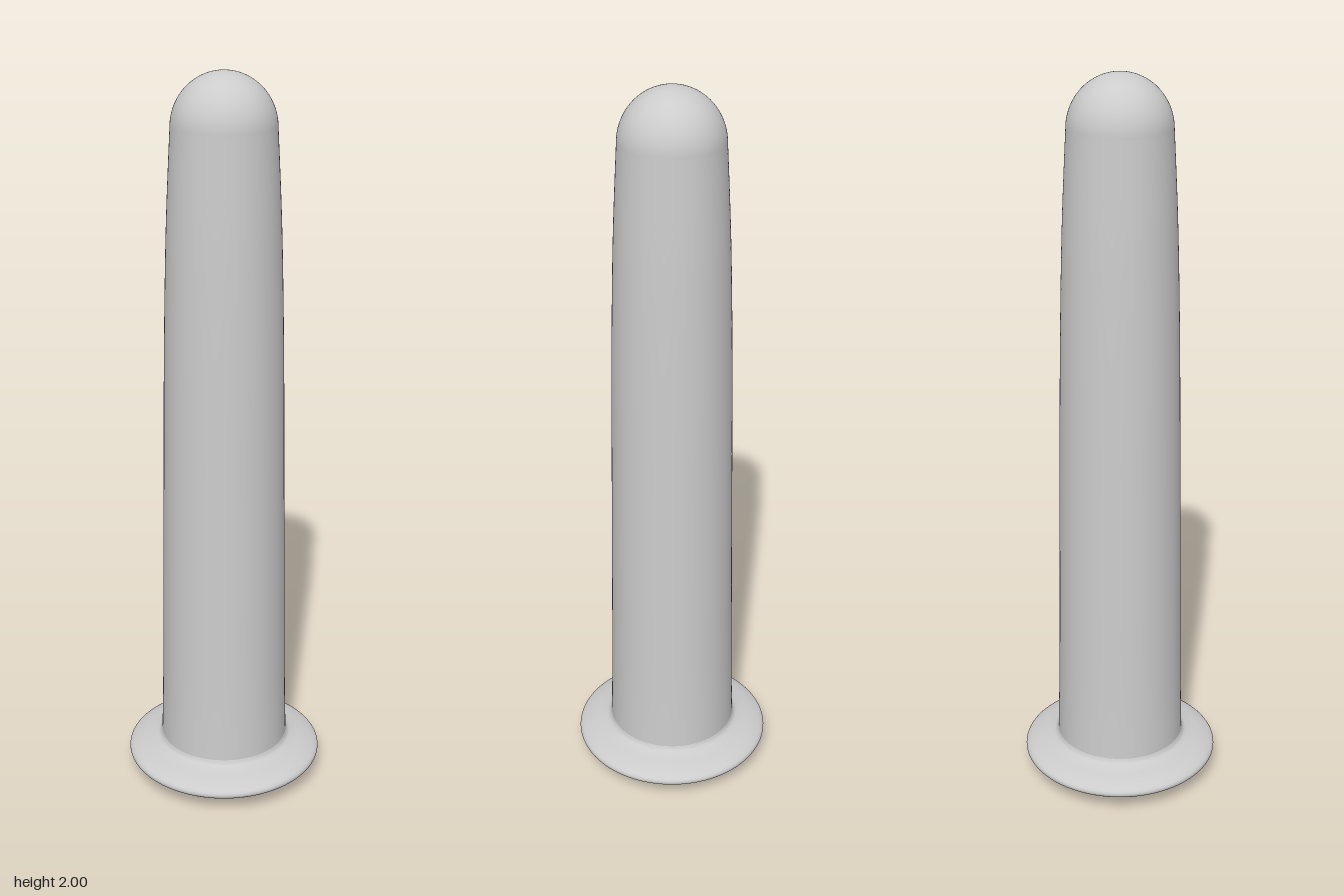
import * as THREE from 'three';

const SEGMENTS = 96;
const vectors = (pairs) => pairs.map(([r, y]) => new THREE.Vector2(r, y));
const smooth = (pairs, n) => new THREE.SplineCurve(vectors(pairs)).getPoints(n);

export function createModel() {
  const group = new THREE.Group();
  const material = new THREE.MeshStandardMaterial({ color: 0xcccccc });

  // Every part is a revolved profile of (radius, height), running bottom to top
  const addLathe = (name, points) => {
    const mesh = new THREE.Mesh(new THREE.LatheGeometry(points, SEGMENTS), material);
    mesh.name = name;
    group.add(mesh);
  };

  // Flared base: shallow convex underside, rounded rim, small fillet into the shaft
  addLathe('base', smooth([
    [0, 0], [0.1, 0.005], [0.18, 0.016], [0.24, 0.036], [0.268, 0.052], [0.275, 0.064],
    [0.267, 0.076], [0.24, 0.088], [0.205, 0.098], [0.187, 0.106], [0.18, 0.118],
  ], 60));

  // Gently bowed, tapering shaft
  addLathe('shaft', smooth([
    [0.18, 0.118], [0.175, 0.3], [0.17, 0.6], [0.165, 0.9], [0.16, 1.2],
    [0.154, 1.45], [0.147, 1.65], [0.136, 1.86],
  ], 40));

  // Rounded tip
  const tip = [];
  for (let i = 0; i <= 24; i++) {
    const a = (i / 24) * Math.PI / 2;
    tip.push(new THREE.Vector2(i === 24 ? 0 : 0.136 * Math.cos(a), 1.86 + 0.14 * Math.sin(a)));
  }
  addLathe('tip', tip);

  return group;
}
